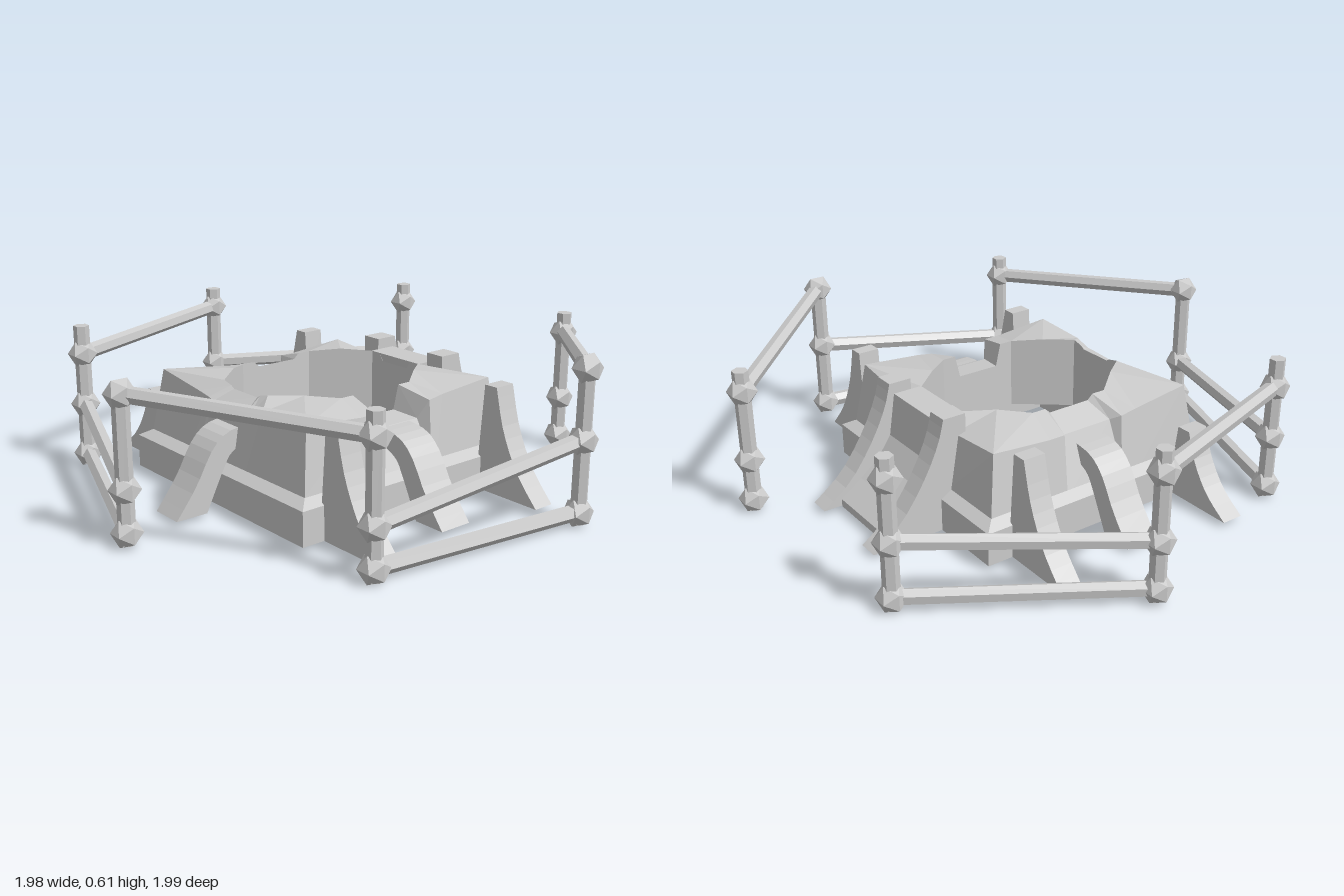
import * as THREE from 'three';

const mat = new THREE.MeshStandardMaterial({ color: 0xcccccc, flatShading: true });

function add(parent, name, geo) {
  const m = new THREE.Mesh(geo, mat);
  m.name = name;
  parent.add(m);
  return m;
}

// Hexagonal bar between two points
function bar(parent, name, a, b, r) {
  const m = add(parent, name, new THREE.CylinderGeometry(r, r, a.distanceTo(b), 6));
  m.position.copy(a).add(b).multiplyScalar(0.5);
  m.quaternion.setFromUnitVectors(new THREE.Vector3(0, 1, 0), b.clone().sub(a).normalize());
}

const vecs = pts => pts.map(p => new THREE.Vector2(...p));
const spline = pts => new THREE.SplineCurve(vecs(pts)).getPoints(10);

// Side profile (distance outwards, height) given a width
function slab(points, width) {
  const g = new THREE.ExtrudeGeometry(new THREE.Shape(points), { depth: width, bevelEnabled: false });
  return g.translate(0, 0, -width / 2);
}

function createFence() {
  const fence = new THREE.Group();
  fence.name = 'fence';
  // x, z, then joint heights from bottom to top
  const posts = [
    [0.14, -0.95, 0.05, 0.23, 0.48],
    [-0.65, -0.68, 0.05, 0.25, 0.45],
    [-0.94, 0.11, 0.05, 0.20, 0.525],
    [-0.50, 0.83, 0.05, 0.19, 0.48],
    [0.34, 0.94, 0.05, 0.31, 0.56],
    [0.945, 0.35, 0.05, 0.21, 0.48],
    [0.855, -0.49, 0.05, 0.255, 0.48],
  ];
  const at = (i, level) => new THREE.Vector3(posts[i][0], posts[i][2 + level], posts[i][1]);
  posts.forEach(([x, z, ...heights]) => {
    bar(fence, 'post', new THREE.Vector3(x, 0.01, z), new THREE.Vector3(x, 0.56, z), 0.03);
    heights.forEach(y => add(fence, 'joint', new THREE.IcosahedronGeometry(0.056, 0)).position.set(x, y, z));
  });
  // from post, to post, joint level
  const rails = [[0, 1, 2], [1, 2, 0], [1, 2, 1], [2, 3, 2], [3, 4, 0], [3, 4, 1], [4, 5, 2], [6, 0, 0], [6, 0, 1]];
  rails.forEach(([a, b, level]) => bar(fence, 'rail', at(a, level), at(b, level), 0.029));
  return fence;
}

// Square plinth and wall, with a ragged top sloping to an eight-sided opening
function wallGeometry() {
  const ts = [-1, -0.45, -0.3, -0.24, 0.24, 0.3, 0.45];
  const outerTop = [
    [0.40, 0.38, 0.38, 0.31, 0.31, 0.38, 0.39], // front
    [0.41, 0.38, 0.36, 0.35, 0.35, 0.36, 0.37], // left (gate)
    [0.39, 0.37, 0.37, 0.35, 0.35, 0.37, 0.38], // back
    [0.41, 0.38, 0.37, 0.36, 0.37, 0.37, 0.39], // right
  ];
  const innerTop = [
    [0.42, 0.41, 0.41, 0.32, 0.32, 0.41, 0.41],
    [0.42, 0.41, 0.41, 0.38, 0.38, 0.41, 0.41],
    [0.42, 0.41, 0.41, 0.39, 0.39, 0.41, 0.41],
    [0.43, 0.42, 0.41, 0.40, 0.40, 0.41, 0.42],
  ];
  const flat = h => () => h;
  const top = table => (t, k) => table[k][ts.indexOf(t)];
  const square = (half, y) => (t, k) => [t * half, y(t, k), half];
  // Rim steps inwards at the middle of the front and back
  const rim = (t, k) => [t * 0.43, top(outerTop)(t, k), k % 2 === 0 && Math.abs(t) < 0.3 ? 0.395 : 0.43];
  const octagon = y => (t, k) => {
    const s = Math.abs(t), c = 0.45;
    const f = s < c ? 0 : (s - c) / (1 - c);
    const u = s < c ? s : c + f * 0.275;
    const long = k % 2 ? 0.36 : 0.29, across = k % 2 ? 0.29 : 0.36;
    return [Math.sign(t) * u * across, y(t, k), (1 - f * 0.275) * long];
  };
  const rings = [
    square(0.507, flat(0.02)), square(0.507, flat(0.145)), square(0.465, flat(0.17)),
    rim, octagon(top(innerTop)), octagon(flat(0.13)),
    square(0.38, flat(0.13)), square(0.38, flat(0.02)),
  ].map(ring => {
    const loop = [];
    for (let k = 0; k < 4; k++) for (const t of ts) {
      const [x, y, z] = ring(t, k);
      const c = Math.round(Math.cos(k * Math.PI / 2)), s = Math.round(Math.sin(k * Math.PI / 2));
      loop.push([x * c + z * s, y, -x * s + z * c]);
    }
    return loop;
  });
  const pos = [], n = rings[0].length;
  rings.forEach((low, r) => {
    const high = rings[(r + 1) % rings.length];
    for (let i = 0; i < n; i++) {
      const j = (i + 1) % n;
      pos.push(...low[i], ...low[j], ...high[j], ...low[i], ...high[j], ...high[i]);
    }
  });
  const g = new THREE.BufferGeometry();
  g.setAttribute('position', new THREE.Float32BufferAttribute(pos, 3));
  g.computeVertexNormals();
  return g;
}

function createFort() {
  const fort = new THREE.Group();
  fort.name = 'fort';
  fort.position.set(-0.025, 0, 0.015);
  add(fort, 'wall', wallGeometry());

  // Curved spikes in front of and behind the wall, one of them broken off low
  const spike = height => slab([
    ...spline([[0.775, 0.02], [0.68, height * 0.31], [0.61, height * 0.64], [0.57, height]]),
    ...vecs([[0.515, height], [0.495, 0.15], [0.49, 0.02]])], 0.085);
  for (const side of [1, -1]) for (const x of [-0.375, 0.365]) {
    const m = add(fort, 'spike', spike(side < 0 && x < 0 ? 0.3 : 0.42));
    m.position.x = x;
    m.rotation.y = -side * Math.PI / 2;
  }

  // Arched ribs leaning on three sides
  const rib = slab([...spline([[0.705, 0.02], [0.62, 0.13], [0.555, 0.24], [0.49, 0.295], [0.40, 0.31]]),
    ...spline([[0.40, 0.25], [0.47, 0.22], [0.51, 0.16], [0.58, 0.02]])], 0.13);
  for (const angle of [-Math.PI / 2, Math.PI / 2, Math.PI]) {
    const m = add(fort, 'rib', rib);
    m.rotation.y = angle;
    if (angle !== Math.PI) m.position.x = -0.005;
  }

  // Gate with a stepped ramp between two curved buttresses
  add(fort, 'gateRamp', slab(vecs([[0.715, 0.02], [0.715, 0.05], [0.63, 0.11], [0.555, 0.17], [0.50, 0.25],
    [0.475, 0.41], [0.36, 0.41], [0.40, 0.02]]), 0.27));
  const buttress = slab([...spline([[0.785, 0.02], [0.67, 0.11], [0.575, 0.24], [0.515, 0.36], [0.49, 0.45]]),
    ...vecs([[0.40, 0.45], [0.40, 0.02]])], 0.08);
  for (const side of [1, -1]) add(fort, 'gateButtress', buttress).position.z = side * 0.18;
  return fort;
}

export function createModel() {
  const model = new THREE.Group();
  model.name = 'fencedFort';
  model.add(createFence(), createFort());
  return model;
}
